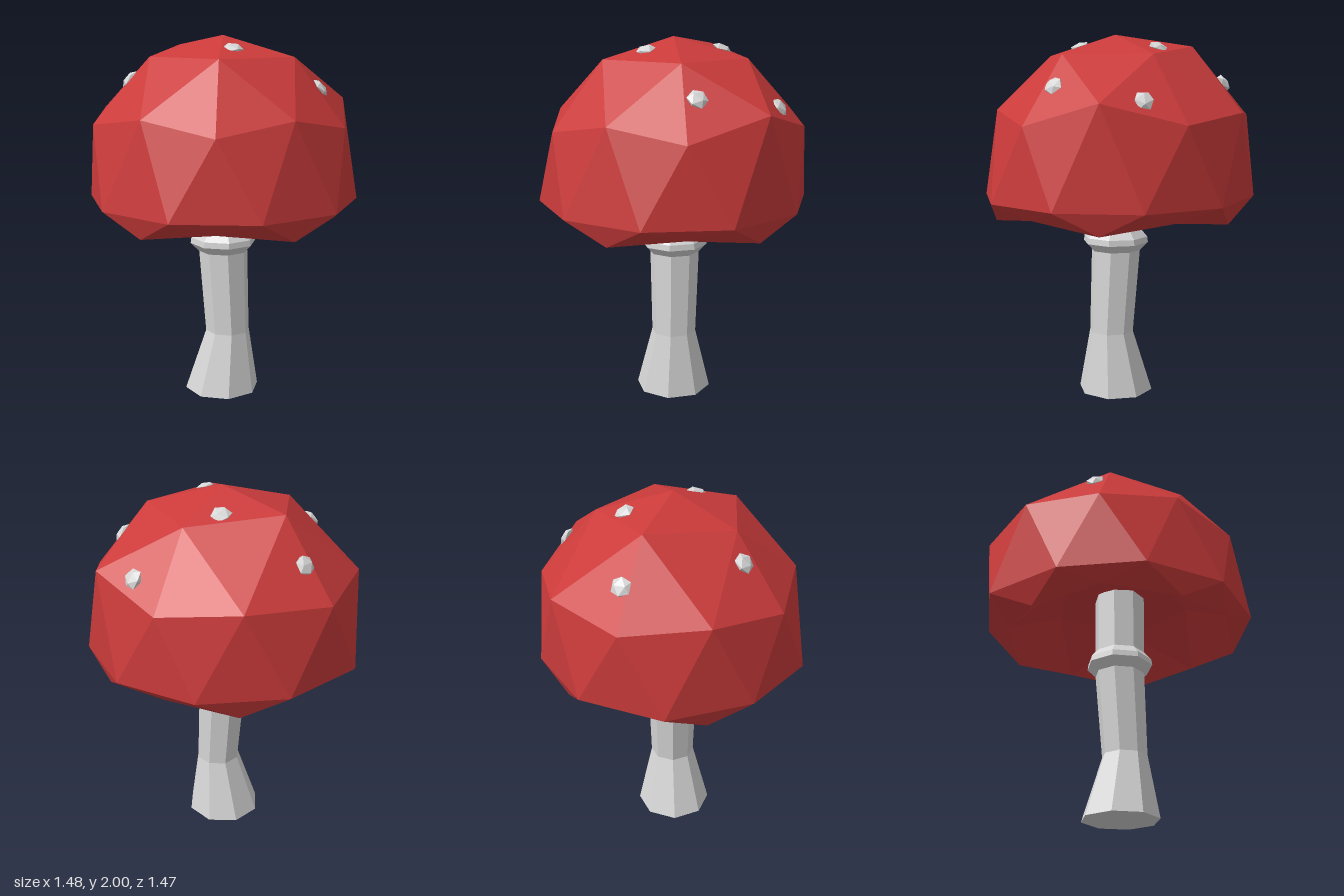
import * as THREE from 'three';

const CX = 0, CZ = 0.03; // axis of the cap and stem foot

// Point at an azimuth (degrees) around the axis
const polar = (deg, r, y) => {
  const a = THREE.MathUtils.degToRad(deg);
  return new THREE.Vector3(CX + r * Math.cos(a), y, CZ + r * Math.sin(a));
};
const ring = (n, start, fn) =>
  Array.from({ length: n }, (_, i) => polar(start + (360 / n) * i, ...fn(i)));

const at = (list, i) => list[(i + list.length) % list.length];

// Faceted dome with a zigzag rim and a hollow underside
function capGeometry() {
  const top = new THREE.Vector3(0, 2, CZ);
  const crown = ring(5, 54, () => [0.4, 1.89]);
  const shoulder = ring(10, 18, i => (i % 2 ? [0.68, 1.53] : [0.645, 1.6]));
  const belt = ring(10, 0, () => [0.738, 1.12]);
  const rim = ring(10, 18, i => (i % 2 ? [0.63, 1.05] : [0.66, 1]));
  const hollow = ring(5, 18, () => [0.39, 1.25]);
  const roof = new THREE.Vector3(0, 1.3, CZ);

  // Irregular bulges on one side and at the back
  crown[3].set(-0.01, 1.94, -0.41);
  shoulder[0].set(0.67, 1.65, 0.24);
  shoulder[9].set(0.667, 1.54, -0.2);
  shoulder[5].set(-0.667, 1.54, -0.2);
  shoulder[6].set(-0.42, 1.59, -0.56);
  shoulder[8].set(0.42, 1.59, -0.56);
  shoulder[7].set(-0.01, 1.56, -0.735);
  belt[7].set(-0.24, 1.13, -0.72);
  belt[8].set(0.23, 1.13, -0.7);

  const pts = [];
  const tri = (a, b, c) => pts.push(a, b, c);
  for (let i = 0; i < 5; i++) {
    const c = crown[i], cn = at(crown, i + 1), s = k => at(shoulder, 2 * i + k);
    tri(top, cn, c);
    tri(c, s(1), s(0));
    tri(c, s(2), s(1));
    tri(c, cn, s(2));
    const h = hollow[i], hn = at(hollow, i + 1), r = k => at(rim, 2 * i + k);
    tri(h, r(-1), r(0));
    tri(h, r(0), r(1));
    tri(r(1), hn, h);
    tri(roof, h, hn);
  }
  for (let j = 0; j < 10; j++) {
    const b = belt[j], bn = at(belt, j + 1);
    tri(shoulder[j], bn, b);
    tri(bn, shoulder[j], at(shoulder, j + 1));
    tri(rim[j], b, bn);
    tri(bn, at(rim, j + 1), rim[j]);
  }
  const geo = new THREE.BufferGeometry().setFromPoints(pts);
  geo.computeVertexNormals();
  return geo;
}

// Eight-sided column through sections [x, y, z, radius], closed at both ends
function columnGeometry(sections) {
  const n = 8, pts = [];
  const loops = sections.map(([x, y, z, r]) =>
    Array.from({ length: n }, (_, i) => {
      const a = ((i + 0.5) / n) * Math.PI * 2;
      return new THREE.Vector3(x + r * Math.cos(a), y, z + r * Math.sin(a));
    }));
  const centre = ([x, y, z]) => new THREE.Vector3(x, y, z);
  const last = loops.length - 1;
  for (let i = 0; i < n; i++) {
    for (let k = 0; k < last; k++) {
      const a = loops[k][i], b = at(loops[k], i + 1);
      const c = loops[k + 1][i], d = at(loops[k + 1], i + 1);
      pts.push(a, c, b, b, c, d);
    }
    pts.push(centre(sections[0]), loops[0][i], at(loops[0], i + 1));
    pts.push(centre(sections[last]), at(loops[last], i + 1), loops[last][i]);
  }
  const geo = new THREE.BufferGeometry().setFromPoints(pts);
  geo.computeVertexNormals();
  return geo;
}

export function createModel() {
  const model = new THREE.Group();
  model.name = 'mushroom';
  const flat = (name, color) => {
    const m = new THREE.MeshStandardMaterial({ color, flatShading: true });
    m.name = name;
    return m;
  };
  const red = flat('cap red', 0xcc3b3b);
  const pale = flat('pale grey', 0xd6d6d6);

  const add = (name, geo, mat) => {
    const mesh = new THREE.Mesh(geo, mat);
    mesh.name = name;
    model.add(mesh);
    return mesh;
  };

  add('cap', capGeometry(), red);

  // Flared foot, narrow waist, slightly leaning shaft
  add('stem', columnGeometry([
    [-0.005, 0, 0.028, 0.21],
    [0.015, 0.35, 0.056, 0.124],
    [0.004, 0.82, 0.028, 0.138],
    [0.002, 1.29, 0.028, 0.142],
  ]), pale);

  // Ring around the upper stem
  add('collar', columnGeometry([
    [0.002, 0.815, 0.028, 0.14],
    [0.002, 0.86, 0.028, 0.184],
    [0.002, 0.892, 0.028, 0.18],
    [0.002, 0.938, 0.028, 0.14],
  ]), pale);

  // Flattened warts lying on the cap
  const spots = [
    [0.03, 1.74, -0.58], [-0.45, 1.77, -0.19], [0.19, 1.93, -0.165], [0.615, 1.66, 0.01],
    [-0.06, 1.935, 0.215], [-0.335, 1.67, 0.44], [0.36, 1.73, 0.415],
  ];
  const spotGeo = new THREE.IcosahedronGeometry(0.055, 0);
  spots.forEach(([x, y, z], i) => {
    const spot = add('spot' + (i + 1), spotGeo, pale);
    spot.position.set(x, y, z);
    const normal = new THREE.Vector3(x / 0.54, (y - 1.12) / 0.77, (z - CZ) / 0.54).normalize();
    spot.quaternion.setFromUnitVectors(new THREE.Vector3(0, 1, 0), normal);
    spot.scale.set(1, 0.45, 1);
  });
  return model;
}
